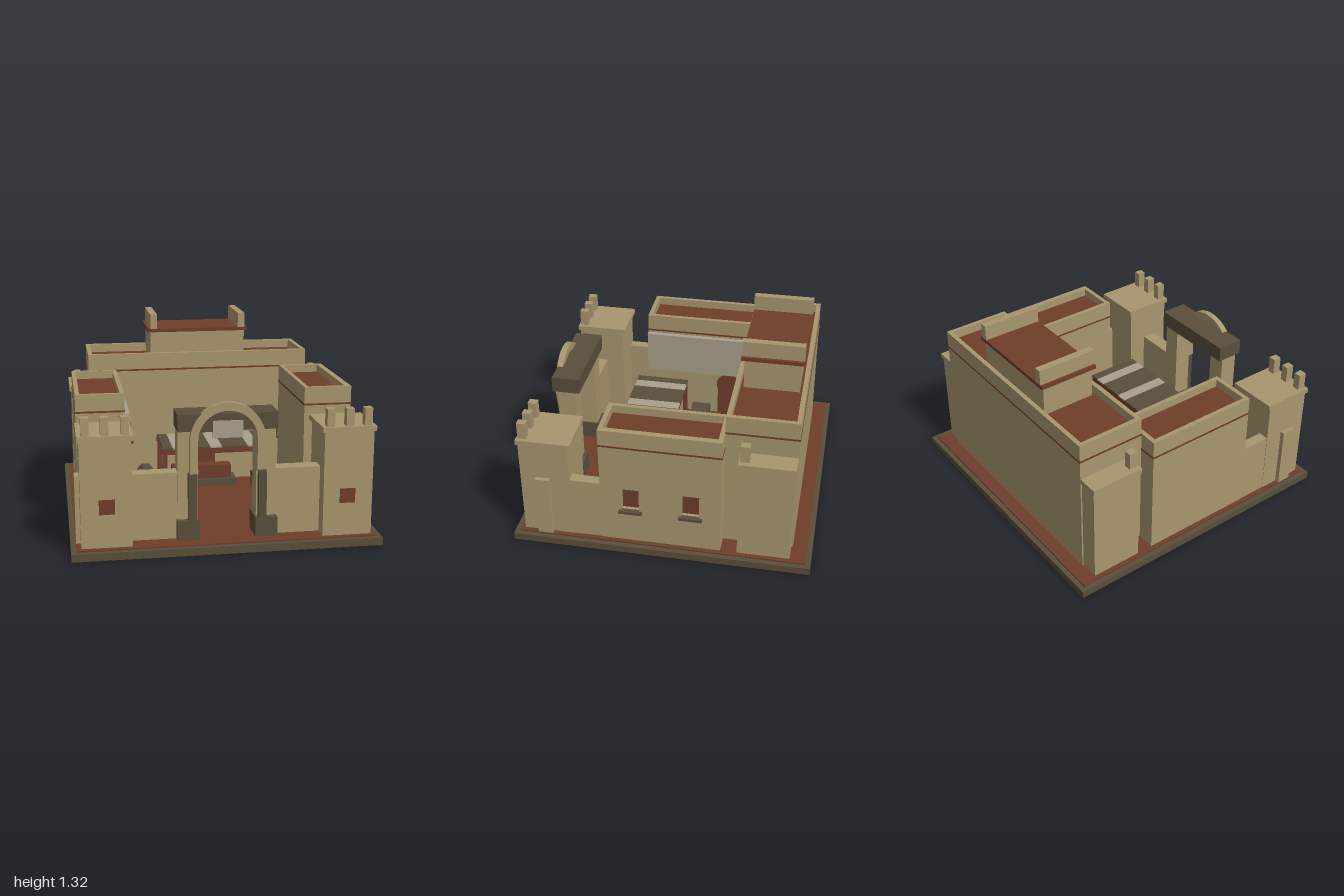
import * as THREE from 'three';

const mat = (name, color) => Object.assign(new THREE.MeshStandardMaterial({ color }), { name });

export function createModel() {
  const sand = mat('sandstone', 0xa8966f);
  const red = mat('redClay', 0x6f3d2a);
  const dark = mat('darkStone', 0x594e3a);
  const pale = mat('paleCloth', 0xa99f8b);
  const model = new THREE.Group();
  model.name = 'courtyardPalace';

  const add = (name, geometry, material) => {
    const m = new THREE.Mesh(geometry, material);
    m.name = name;
    model.add(m);
    return m;
  };
  // Box given by its extents
  const box = (name, material, x0, x1, y0, y1, z0, z1) => {
    const g = new THREE.BoxGeometry(Math.abs(x1 - x0), y1 - y0, z1 - z0);
    g.translate((x0 + x1) / 2, (y0 + y1) / 2, (z0 + z1) / 2);
    return add(name, g, material);
  };
  const extrude = (shape, depth) =>
    new THREE.ExtrudeGeometry(shape, { depth, bevelEnabled: false, curveSegments: 12 });
  const rectPath = (P, x0, x1, y0, y1) => {
    const p = new P();
    p.moveTo(x0, y0); p.lineTo(x1, y0); p.lineTo(x1, y1); p.lineTo(x0, y1); p.closePath();
    return p;
  };
  // Horseshoe-topped door outline
  const doorShape = (half, r, cy, y0) => {
    const s = new THREE.Shape();
    const a = Math.acos(half / r);
    s.moveTo(-half, y0);
    s.lineTo(half, y0);
    s.absarc(0, cy, r, -a, Math.PI + a, false);
    s.closePath();
    return s;
  };
  const T = 0.03;
  // Walls with a parapet around a sunken roof, and a painted band outside
  const hall = (name, x0, x1, z0, z1, top, roof, band, openOuter = false) => {
    box(name + 'FrontWall', sand, x0, x1, 0.06, top, z1 - T, z1);
    box(name + 'BackWall', sand, x0, x1, 0.06, top, z0, z0 + T);
    box(name + 'RightWall', sand, x0, x0 + T, 0.06, top, z0 + T, z1 - T);
    if (!openOuter) box(name + 'LeftWall', sand, x1 - T, x1, 0.06, top, z0 + T, z1 - T);
    box(name + 'Roof', red, x0 + T, x1 - T, roof - 0.02, roof, z0 + T, z1 - T);
    const e = 0.003, y0 = band, y1 = band + 0.012;
    box(name + 'BandFront', red, x0 - e, x1 + e, y0, y1, z1, z1 + e);
    box(name + 'BandBack', red, x0 - e, x1 + e, y0, y1, z0 - e, z0);
    box(name + 'BandRight', red, x0 - e, x0, y0, y1, z0, z1);
    box(name + 'BandLeft', red, x1, x1 + e, y0, y1, z0, z1);
  };

  // Ground
  box('base', dark, -1, 1, 0, 0.05, -1, 1);
  box('courtyardFloor', red, -0.965, 0.965, 0.05, 0.06, -0.965, 0.965);

  // Main hall and roof pavilion
  hall('mainHall', -0.81, 0.81, -0.87, -0.4, 1.04, 0.98, 0.913);
  box('pavilion', sand, -0.35, 0.35, 0.96, 1.19, -0.82, -0.45);
  box('pavilionRoof', red, -0.37, 0.37, 1.19, 1.215, -0.84, -0.43);
  for (const s of [-1, 1])
    box('pavilionFin', sand, s * 0.3, s * 0.35, 1.215, 1.32, -0.84, -0.43);

  // Side wings
  hall('rightWing', -0.935, -0.61, -0.4, 0.4, 0.925, 0.87, 0.8);
  hall('leftWing', 0.61, 0.935, -0.4, 0.4, 0.925, 0.87, 0.8, true);

  // Outer wing wall with two window openings
  const wall = rectPath(THREE.Shape, -0.37, 0.37, 0.06, 0.925);
  for (const s of [-0.2, 0.2]) {
    wall.holes.push(rectPath(THREE.Path, s - 0.058, s + 0.058, 0.308, 0.478));
    box('windowPane', red, 0.88, 0.895, 0.29, 0.5, s - 0.08, s + 0.08);
    box('windowSill', dark, 0.92, 0.957, 0.29, 0.31, s - 0.077, s + 0.077);
  }
  add('windowWall', extrude(wall, 0.04).rotateY(Math.PI / 2).translate(0.895, 0, 0), sand);

  // Wall hanging and side door of the right wing
  box('wallHanging', pale, -0.61, -0.573, 0.48, 0.785, -0.395, 0.4);
  add('sideDoor', extrude(doorShape(0.08, 0.09, 0.38, 0.06), 0.008)
    .rotateY(Math.PI / 2).translate(-0.61, 0, -0.22), red);

  // Main door, its seam and the stepped plinth before it
  add('mainDoor', extrude(doorShape(0.125, 0.15, 0.465, 0.06), 0.008).translate(0, 0, -0.4), red);
  box('doorSeam', dark, -0.003, 0.003, 0.06, 0.54, -0.392, -0.39);
  box('plinthBase', dark, -0.26, 0.26, 0.06, 0.11, -0.37, -0.21);
  box('plinthTop', red, -0.22, 0.22, 0.11, 0.21, -0.335, -0.24);

  for (const s of [-1, 1]) {
    // Hall windows
    box('hallWindow', red, s * 0.51, s * 0.605, 0.39, 0.565, -0.4, -0.391);
    box('hallSill', dark, s * 0.495, s * 0.608, 0.37, 0.39, -0.4, -0.35);

    // Rear corner towers
    box('rearTower', sand, s * 0.8, s * 0.935, 0.06, 0.75, -0.86, -0.51);
    box('rearTowerCap', sand, s * 0.81, s * 0.95, 0.75, 0.785, -0.868, -0.5);
    box('rearMerlon', sand, s * 0.865, s * 0.915, 0.785, 0.9, -0.57, -0.51);

    // Front towers
    box('frontTower', sand, s * 0.612, s * 0.935, 0.06, 0.75, 0.605, 0.935);
    box('frontTowerCap', sand, s * 0.597, s * 0.947, 0.75, 0.785, 0.585, 0.947);
    for (const x of [0.65, 0.775, 0.895])
      box('frontMerlon', sand, s * (x - 0.025), s * (x + 0.025), 0.785, 0.9, 0.877, 0.935);
    box('towerWindow', red, s * 0.72, s * 0.82, 0.28, 0.375, 0.935, 0.942);

    // Courtyard walls
    box('frontWall', sand, s * 0.31, s * 0.965, 0.06, 0.5, 0.735, 0.835);
    box('sideWall', sand, s * 0.86, s * 0.932, 0.06, 0.5, 0.4, 0.61);

    // Gate pillars
    box('gatePillar', sand, s * 0.19, s * 0.315, 0.06, 0.775, 0.72, 0.845);
    box('gatePedestal', dark, s * 0.18, s * 0.325, 0.06, 0.19, 0.69, 0.885);
    box('gateStrip', dark, s * 0.2, s * 0.252, 0.19, 0.5, 0.84, 0.888);

    // Canopy posts
    for (const z of [0.07, 0.4])
      box('canopyPost', red, s * 0.33, s * 0.36, 0.06, 0.51, z - 0.015, z + 0.015);

    // Side tables, each with a barrel
    box('tableTop', red, s * 0.355, s * 0.52, 0.155, 0.18, -0.18, 0.11);
    for (const x of [0.37, 0.505])
      for (const z of [-0.165, 0.095])
        box('tableLeg', red, s * (x - 0.012), s * (x + 0.012), 0.06, 0.155, z - 0.012, z + 0.012);
    const barrel = new THREE.CylinderGeometry(0.06, 0.06, 0.13, 8).toNonIndexed();
    barrel.rotateY(Math.PI / 8).rotateX(Math.PI / 2).translate(s * 0.435, 0.235, -0.035);
    barrel.computeVertexNormals();
    add('barrel', barrel, dark);
  }

  // Gate lintel, arch and plaque
  box('gateLintel', dark, -0.32, 0.32, 0.775, 0.885, 0.69, 0.88);
  const arch = new THREE.Shape();
  arch.moveTo(0.242, 0.5);
  arch.absarc(0, 0.713, 0.242, 0, Math.PI, false);
  arch.lineTo(-0.242, 0.5);
  arch.lineTo(-0.19, 0.5);
  arch.absarc(0, 0.713, 0.19, Math.PI, 0, true);
  arch.lineTo(0.19, 0.5);
  arch.closePath();
  add('gateArch', extrude(arch, 0.043).translate(0, 0, 0.842), sand);
  box('gatePlaque', pale, -0.097, 0.097, 0.73, 0.84, 0.87, 0.89);

  // Striped canopy on a red frame
  for (const z of [0.055, 0.4])
    box('canopyBeam', red, -0.365, 0.365, 0.5, 0.535, z, z + 0.03);
  const edges = [-0.36, -0.295, -0.215, -0.04, 0.04, 0.215, 0.295, 0.36];
  for (let i = 0; i < 7; i++)
    box('canopyStripe', i % 2 ? pale : dark, edges[i], edges[i + 1], 0.535, 0.545, 0.05, 0.425);

  return model;
}
